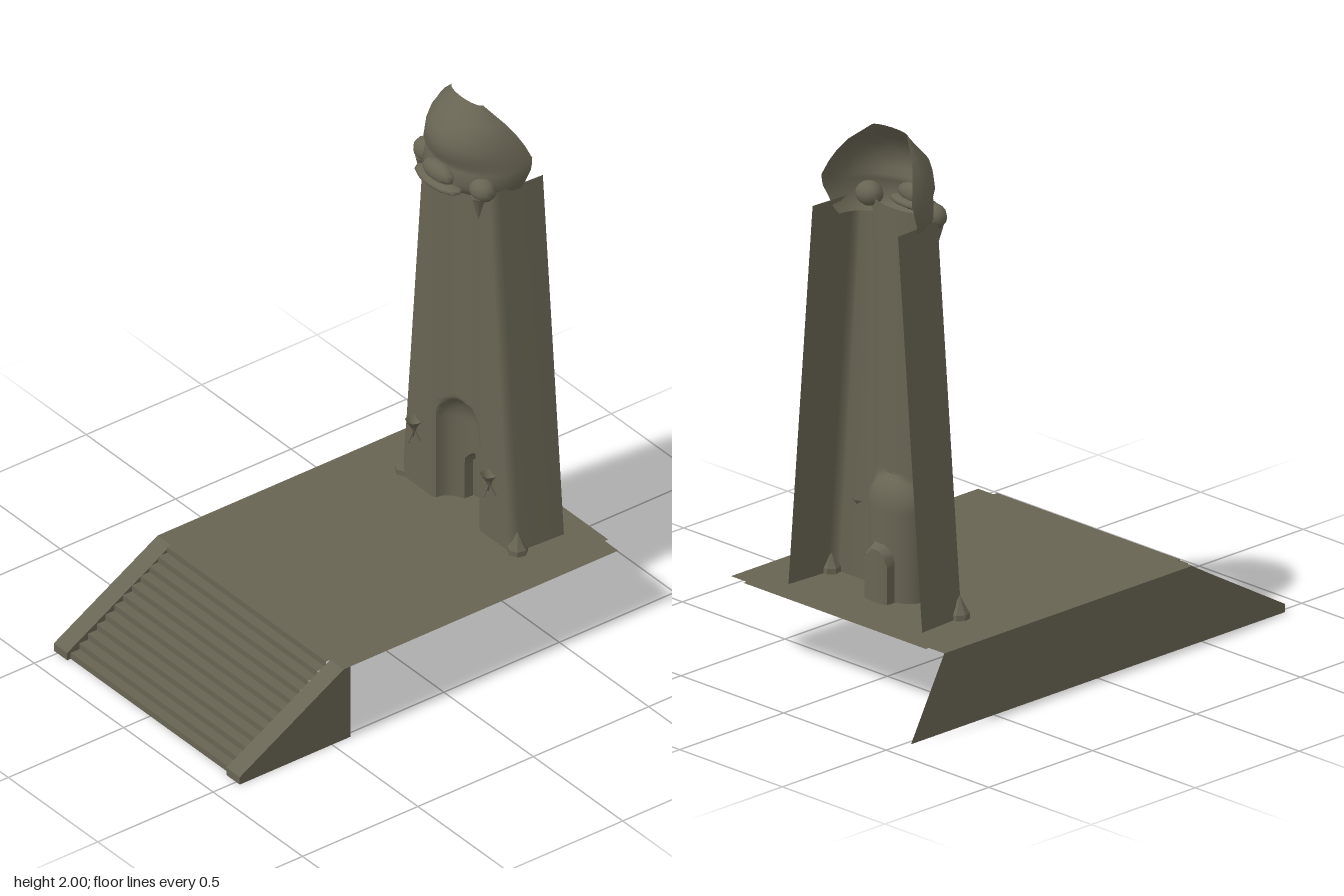
import * as THREE from 'three';
import { toCreasedNormals } from 'three/addons/utils/BufferGeometryUtils.js';

const stone = new THREE.MeshStandardMaterial({ color: 0x686453, side: THREE.DoubleSide });
stone.name = 'weathered stone';

// Open sheet through rows of [x, y, z] points (left to right, bottom to top)
function sheet(rows, crease = 0.6) {
  const n = rows[0].length, index = [];
  for (let r = 0; r < rows.length - 1; r++) {
    for (let c = 0; c < n - 1; c++) {
      const a = r * n + c, b = a + 1, d = a + n, e = d + 1;
      index.push(a, b, e, a, e, d);
    }
  }
  const g = new THREE.BufferGeometry();
  g.setAttribute('position', new THREE.Float32BufferAttribute(rows.flat(2), 3));
  g.setIndex(index);
  g.computeVertexNormals();
  return toCreasedNormals(g, crease);
}

export function createModel() {
  const model = new THREE.Group();
  const add = (name, geometry, parent = model) => {
    const mesh = new THREE.Mesh(geometry, stone);
    mesh.name = name;
    parent.add(mesh);
    return mesh;
  };
  const TOP = 0.29;

  // Terrace: a paved centre with a border strip on each side
  const slab = (name, x0, x1, z0, z1) => {
    const m = add(name, new THREE.PlaneGeometry(x1 - x0, z1 - z0).rotateX(-Math.PI / 2));
    m.position.set((x0 + x1) / 2, TOP, (z0 + z1) / 2);
  };
  slab('terraceFloor', -0.445, 0.445, -0.755, 0.43);
  slab('terraceBorderLeft', 0.445, 0.52, -0.74, 0.42);
  slab('terraceBorderRight', -0.52, -0.445, -0.74, 0.42);

  // Battered retaining wall on the right side
  add('retainingWall', sheet([
    [[-0.52, 0, -0.9], [-0.52, 0, 0.42]],
    [[-0.52, TOP, -0.74], [-0.52, TOP, 0.42]],
  ]));

  // Staircase
  const STEPS = 12, rise = TOP / STEPS, run = 0.455 / STEPS, stairs = [];
  for (let i = 0; i < STEPS; i++) {
    const z = 0.885 - i * run;
    for (const [y, zz] of [[i * rise, z], [(i + 1) * rise, z]]) {
      stairs.push([[-0.445, y, zz], [0.445, y, zz]]);
    }
  }
  stairs.push([[-0.445, TOP, 0.43], [0.445, TOP, 0.43]]);
  add('stairs', sheet(stairs));

  // Sloping balustrades beside the stairs
  const rail = new THREE.Shape([[0.42, 0], [0.9, 0], [0.9, 0.03], [0.45, TOP], [0.42, TOP]]
    .map(p => new THREE.Vector2(...p)));
  for (const x of [-0.52, 0.445]) {
    const g = new THREE.ExtrudeGeometry(rail, { depth: 0.075, bevelEnabled: false });
    g.rotateY(-Math.PI / 2).translate(x + 0.075, 0, 0);
    add('balustrade', g);
  }

  // Tower: tapering open shell with a shallow groove and two nested arched niches
  const inArch = (x, y, w, spring) => Math.hypot(x, Math.max(0, y - spring)) / w;
  const frontZ = (x, y) => {
    let z = -0.44 - 0.035 * Math.max(0, Math.cos(Math.min(1, Math.abs(x) / 0.14) * Math.PI / 2));
    const big = inArch(x, y, 0.122, 0.62), small = inArch(x, y, 0.055, 0.435);
    if (big < 1) z = Math.min(z, -0.445 - 0.085 * Math.sqrt(1 - big * big));
    if (small < 1) z -= 0.035;
    return z;
  };
  const half = [0, 0.017, 0.033, 0.045, 0.054, 0.056, 0.07, 0.085, 0.1, 0.11, 0.118, 0.122, 0.14];
  const levels = [];
  for (let i = 0; i <= 40; i++) levels.push(TOP + i * 0.012);
  levels.push(0.95, 1.2, 1.45, 1.71);
  const towerRows = levels.map(y => {
    const w = 0.316 - (y - TOP) * 0.083;
    const side = half.map(x => [x, y, frontZ(x, y)]);
    side.push([w * 0.93, y, -0.442], [w * 0.985, y, -0.452], [w, y, -0.475], [w + 0.01, y, -0.655]);
    const mirror = side.slice(1).reverse().map(([x, yy, z]) => [-x, yy, z]);
    return [...mirror, ...side];
  });
  add('tower', sheet(towerRows, 0.9));

  // Head: a hollow mask, each row is [y, half width, front z, rear z]
  const head = new THREE.Group();
  head.name = 'carvedHead';
  model.add(head);
  const maskRows = [
    [1.66, 0.185, -0.41, -0.55], [1.68, 0.2, -0.375, -0.56], [1.72, 0.216, -0.35, -0.57],
    [1.765, 0.224, -0.37, -0.59], [1.785, 0.224, -0.372, -0.595], [1.81, 0.22, -0.352, -0.6],
    [1.86, 0.203, -0.357, -0.58], [1.9, 0.183, -0.37, -0.56], [1.94, 0.155, -0.41, -0.535],
    [2.0, 0.085, -0.465, -0.49],
  ].map(([y, w, zf, zb]) => {
    const row = [];
    for (let i = 0; i <= 16; i++) {
      const a = (i / 16 - 0.5) * Math.PI;
      row.push([w * Math.sin(a), y, zb + (zf - zb) * Math.cos(a)]);
    }
    return row;
  });
  add('mask', sheet(maskRows, 1.2), head);

  // Snout, upper lip, cheeks and fangs
  const lump = (name, x, y, z, sx, sy, sz) => {
    const m = add(name, new THREE.SphereGeometry(1, 12, 8), head);
    m.position.set(x, y, z);
    m.scale.set(sx, sy, sz);
  };
  lump('snout', 0, 1.735, -0.365, 0.08, 0.04, 0.035);
  lump('lip', 0, 1.702, -0.365, 0.12, 0.02, 0.05);
  for (const s of [-1, 1]) {
    lump('cheek', s * 0.155, 1.715, -0.435, 0.055, 0.045, 0.045);
    const fang = add('fang', new THREE.ConeGeometry(0.027, 0.095, 6).rotateX(Math.PI), head);
    fang.position.set(s * 0.157, 1.645, -0.415);
  }

  // Corner stones and braziers, mirrored
  const cornerProfile = [[0.036, 0], [0.036, 0.02], [0.02, 0.045], [0, 0.085]]
    .map(p => new THREE.Vector2(...p));
  for (const s of [-1, 1]) {
    const corner = add('cornerStone', toCreasedNormals(new THREE.LatheGeometry(cornerProfile, 7), 0.5));
    corner.position.set(s * 0.315, TOP, -0.463);

    const brazier = new THREE.Group();
    brazier.name = 'brazier';
    brazier.position.set(s * 0.21, 0.53, -0.42);
    model.add(brazier);
    add('bowl', new THREE.CylinderGeometry(0.031, 0.012, 0.03, 8, 1, true), brazier).position.y = 0.03;
    add('bowlBase', new THREE.CylinderGeometry(0.013, 0.008, 0.015, 8), brazier).position.y = 0.008;
    for (let i = 0; i < 3; i++) {
      const a = Math.PI / 2 + i * Math.PI * 2 / 3;
      const leg = new THREE.LineCurve3(new THREE.Vector3(0, 0.005, 0),
        new THREE.Vector3(Math.cos(a) * 0.025, -0.04, Math.sin(a) * 0.025));
      add('leg', new THREE.TubeGeometry(leg, 1, 0.004, 5), brazier);
    }
  }
  return model;
}
